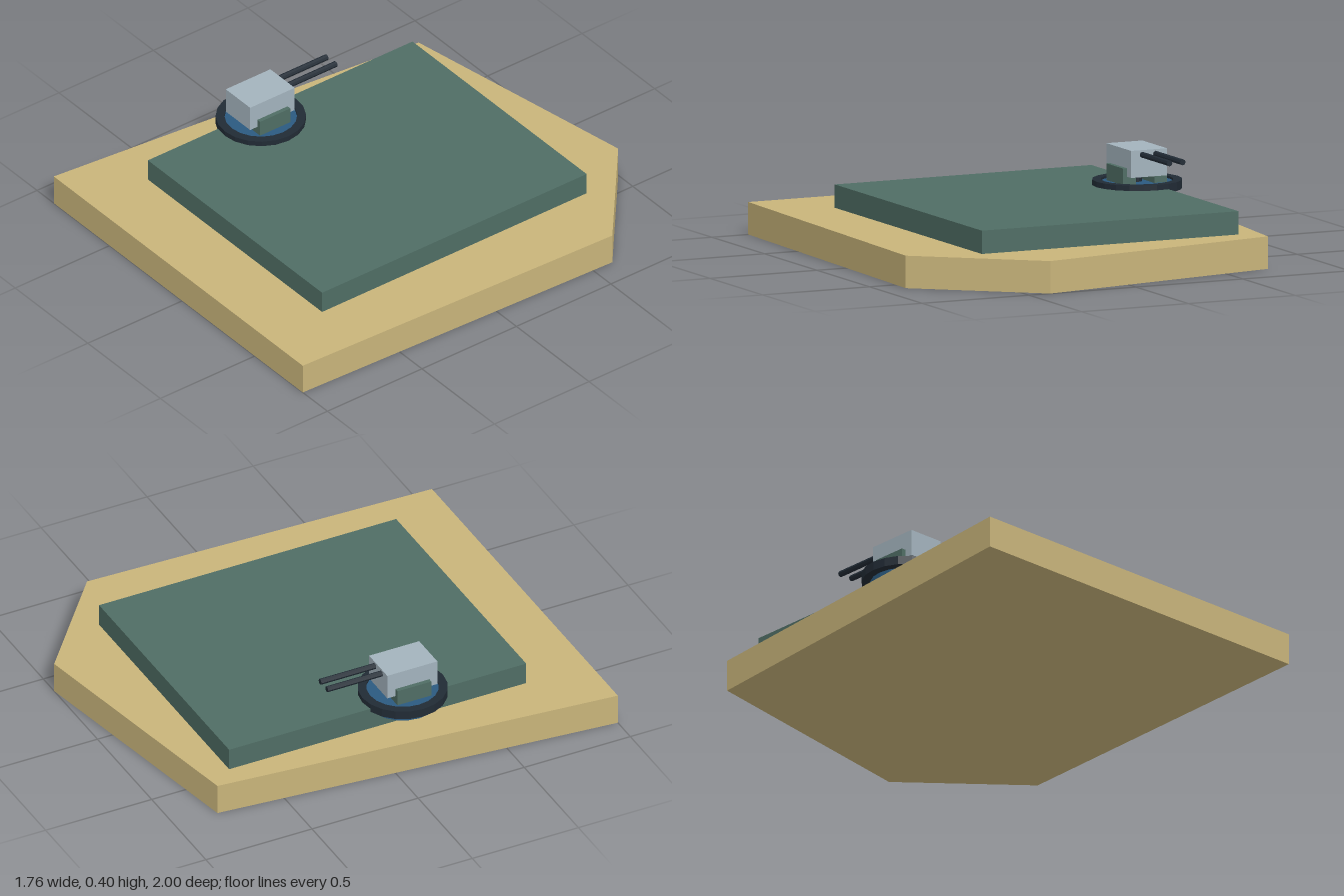
import * as THREE from 'three';

const mat = (name, color) => {
  const m = new THREE.MeshStandardMaterial({ color });
  m.name = name;
  return m;
};

export function createModel() {
  const sand = mat('sand', 0xc8b47a);
  const green = mat('slate green', 0x4f6d64);
  const dark = mat('dark steel', 0x212b35);
  const blue = mat('blue', 0x2b5a80);
  const grey = mat('pale grey', 0xa3b3bd);

  const model = new THREE.Group();
  model.name = 'turretPlatform';
  const add = (parent, name, geometry, material, x, y, z) => {
    const mesh = new THREE.Mesh(geometry, material);
    mesh.name = name;
    mesh.position.set(x, y, z);
    parent.add(mesh);
    return mesh;
  };
  // Flat-faced cylinder standing on y
  const drum = (r, h, n) => new THREE.CylinderGeometry(r, r, h, n).toNonIndexed();
  const facet = (g) => { g.computeVertexNormals(); return g; };

  // Five-sided ground plate, outline given as x, z
  const outline = [[-0.885, 1], [0.83, 1], [0.88, -0.6], [0.4, -1], [-0.715, -0.8]];
  const plate = new THREE.ExtrudeGeometry(
    new THREE.Shape(outline.map(([x, z]) => new THREE.Vector2(x, -z))),
    { depth: 0.138, bevelEnabled: false });
  plate.rotateX(-Math.PI / 2);
  add(model, 'groundPlate', plate, sand, 0, 0, 0);

  // Raised slab
  add(model, 'slab', new THREE.BoxGeometry(1.2, 0.099, 1.4), green, -0.027, 0.1875, 0);

  // Turret overhanging the slab edge
  const turret = new THREE.Group();
  turret.name = 'turret';
  turret.position.set(-0.569, 0, 0.147);
  model.add(turret);

  add(turret, 'turntable', facet(drum(0.153, 0.06, 20)), blue, 0, 0.22, 0);

  // Square-section ring around the turntable
  const section = [[0.153, 0.222], [0.19, 0.222], [0.19, 0.26], [0.153, 0.26], [0.153, 0.222]];
  const ring = new THREE.LatheGeometry(section.map(([r, y]) => new THREE.Vector2(r, y)), 20);
  add(turret, 'ring', facet(ring.toNonIndexed()), dark, 0, 0, 0);

  // Pivot, side cheeks and gun housing
  add(turret, 'pivot', facet(drum(0.02, 0.05, 12)), dark, 0, 0.27, 0);
  for (const side of [-1, 1]) {
    add(turret, 'cheek', new THREE.BoxGeometry(0.06, 0.073, 0.16), green, side * 0.073, 0.2845, 0.003);
  }
  add(turret, 'housing', new THREE.BoxGeometry(0.168, 0.115, 0.236), grey, 0, 0.3425, 0.003);

  // Twin barrels pointing backwards
  for (const side of [-1, 1]) {
    const barrel = add(turret, 'barrel', facet(drum(0.013, 0.27, 8)), dark, side * 0.031, 0.38, -0.238);
    barrel.rotation.x = Math.PI / 2;
  }
  return model;
}
